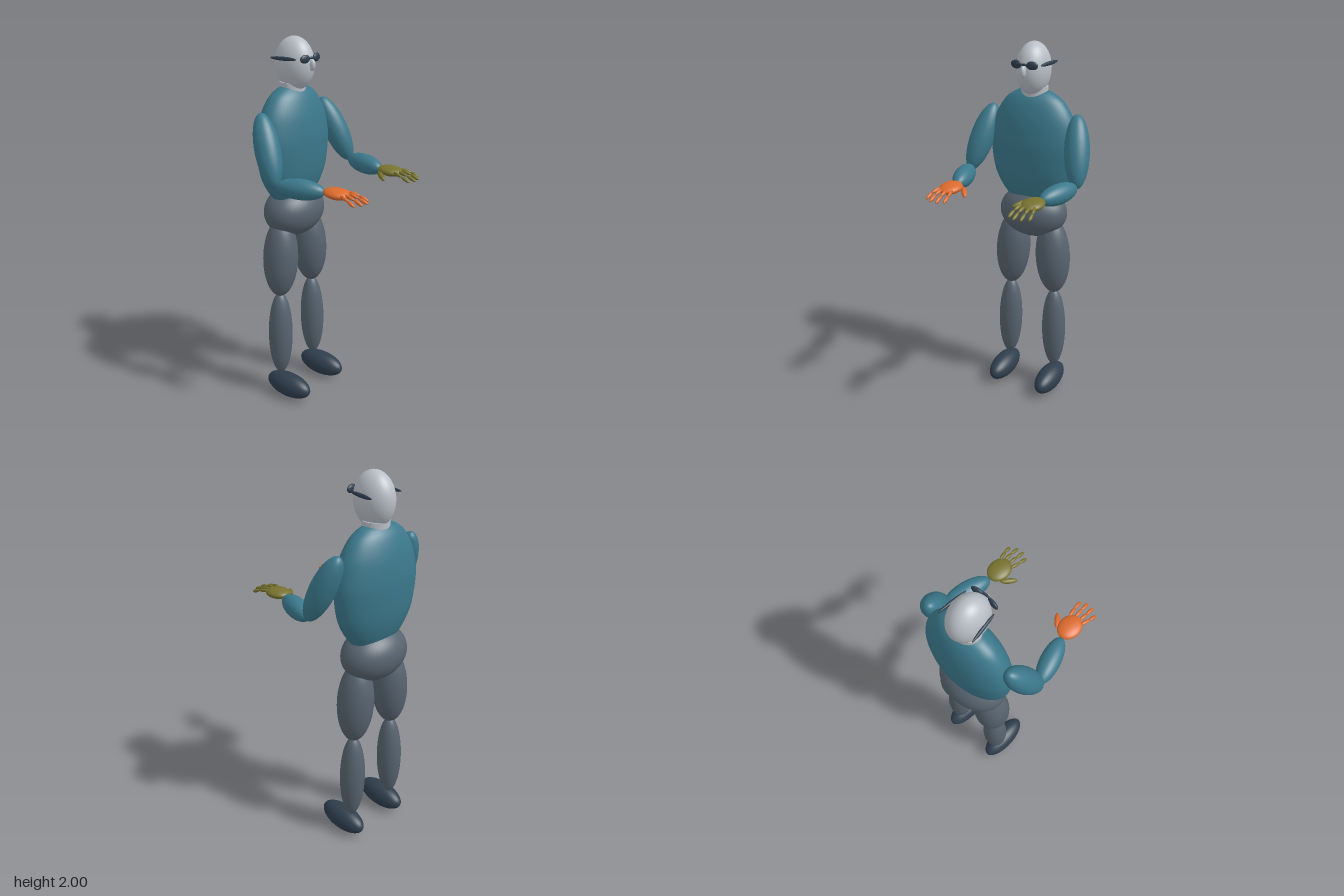
import * as THREE from 'three';

const mat = (name, color) => {
  const m = new THREE.MeshStandardMaterial({ color });
  m.name = name;
  return m;
};

export function createModel() {
  const skin = mat('pale grey', 0xb9bfc6);
  const shirt = mat('teal', 0x3b788b);
  const trousers = mat('slate grey', 0x57636f);
  const dark = mat('dark navy', 0x2f3e4d);
  const orange = mat('orange', 0xdb6a2c);
  const olive = mat('olive', 0x77722f);

  const model = new THREE.Group();
  model.name = 'figure';
  const ball = new THREE.SphereGeometry(1, 40, 28);
  const smallBall = new THREE.SphereGeometry(1, 20, 14);
  const up = new THREE.Vector3(0, 1, 0);

  // Axis-aligned ellipsoid
  function ellipsoid(name, material, centre, radii, parent = model) {
    const m = new THREE.Mesh(ball, material);
    m.name = name;
    m.position.set(...centre);
    m.scale.set(...radii);
    parent.add(m);
    return m;
  }

  // Ellipsoid stretched between two end points
  function limb(name, material, from, to, r, parent = model, r2 = r) {
    const a = new THREE.Vector3(...from), b = new THREE.Vector3(...to);
    const m = new THREE.Mesh(r < 0.03 ? smallBall : ball, material);
    m.name = name;
    m.position.copy(a).add(b).multiplyScalar(0.5);
    m.scale.set(r, a.distanceTo(b) / 2, r2);
    m.quaternion.setFromUnitVectors(up, b.sub(a).normalize());
    parent.add(m);
    return m;
  }

  // Head, nose and neck
  ellipsoid('head', skin, [-0.225, 1.865, 0], [0.11, 0.135, 0.086]);
  ellipsoid('nose', skin, [-0.114, 1.868, 0], [0.021, 0.03, 0.014]);
  const neck = new THREE.Mesh(new THREE.CylinderGeometry(0.062, 0.062, 0.09, 32), skin);
  neck.name = 'neck';
  neck.position.set(-0.24, 1.73, 0);
  neck.scale.z = 1.15;
  model.add(neck);

  // Torso: flattened lathe, cut off flat at the waist
  const curve = new THREE.SplineCurve([
    [0.62, 1.18], [0.79, 1.24], [0.93, 1.32], [1, 1.44], [0.985, 1.52],
    [0.87, 1.62], [0.66, 1.7], [0.44, 1.74], [0.25, 1.756], [0, 1.762],
  ].map(([x, y]) => new THREE.Vector2(x, y)));
  const profile = curve.getPoints(40);
  profile[40].x = 0;
  const torso = new THREE.Mesh(new THREE.LatheGeometry(profile, 48), shirt);
  torso.name = 'torso';
  torso.position.x = -0.245;
  torso.scale.set(0.128, 1, 0.248);
  model.add(torso);
  const waist = new THREE.Mesh(new THREE.CircleGeometry(0.62, 48), shirt);
  waist.name = 'torsoBase';
  waist.rotation.x = Math.PI / 2;
  waist.position.set(-0.245, 1.18, 0);
  waist.scale.set(0.128, 0.248, 1);
  model.add(waist);

  ellipsoid('pelvis', trousers, [-0.245, 1.085, 0], [0.14, 0.14, 0.192]);

  // Fingers: base, knuckle and tip as [x, z]
  const fingers = [
    [[0.26, 0.194], [0.315, 0.183], [0.364, 0.179]],
    [[0.276, 0.217], [0.33, 0.214], [0.383, 0.212]],
    [[0.276, 0.245], [0.33, 0.248], [0.379, 0.249]],
    [[0.26, 0.264], [0.315, 0.279], [0.357, 0.283]],
  ];

  for (const s of [1, -1]) {
    const side = s > 0 ? 'right' : 'left';
    const handMat = s > 0 ? orange : olive;

    // Leg
    const leg = new THREE.Group();
    leg.name = side + 'Leg';
    model.add(leg);
    limb('thigh', trousers, [-0.243, 1.06, s * 0.11], [-0.243, 0.615, s * 0.138], 0.095, leg);
    limb('shin', trousers, [-0.243, 0.63, s * 0.136], [-0.243, 0.13, s * 0.146], 0.067, leg);
    ellipsoid('shoe', dark, [-0.183, 0.069, s * 0.15], [0.148, 0.069, 0.064], leg);

    // Arm bent forward at the elbow
    const arm = new THREE.Group();
    arm.name = side + 'Arm';
    model.add(arm);
    limb('upperArm', shirt, [-0.2475, 1.653, s * 0.24], [-0.1025, 1.313, s * 0.312], 0.065, arm);
    limb('forearm', shirt, [-0.1, 1.322, s * 0.308], [0.15, 1.322, s * 0.237], 0.052, arm);

    // Hand
    const hand = new THREE.Group();
    hand.name = side + 'Hand';
    arm.add(hand);
    const palm = ellipsoid('palm', handMat, [0.217, 1.329, s * 0.231], [0.071, 0.025, 0.056], hand);
    palm.rotation.z = -0.05;
    limb('thumb', handMat, [0.172, 1.325, s * 0.186], [0.243, 1.305, s * 0.133], 0.014, hand);
    for (const [a, b, c] of fingers) {
      limb('fingerBase', handMat, [a[0], 1.337, s * a[1]], [b[0], 1.325, s * b[1]], 0.009, hand);
      limb('fingerTip', handMat, [b[0] - 0.003, 1.326, s * b[1]], [c[0], 1.306, s * c[1]], 0.009, hand);
    }

    // Glasses
    const lens = ellipsoid('lens', dark, [-0.121, 1.9, s * 0.044], [0.011, 0.021, 0.031]);
    lens.rotation.y = s * -0.15;
    limb('glassesArm', dark, [-0.302, 1.898, s * 0.096], [-0.15, 1.898, s * 0.078], 0.01, model, 0.008);
  }
  limb('glassesBridge', dark, [-0.112, 1.903, 0.024], [-0.112, 1.903, -0.024], 0.006);

  return model;
}
